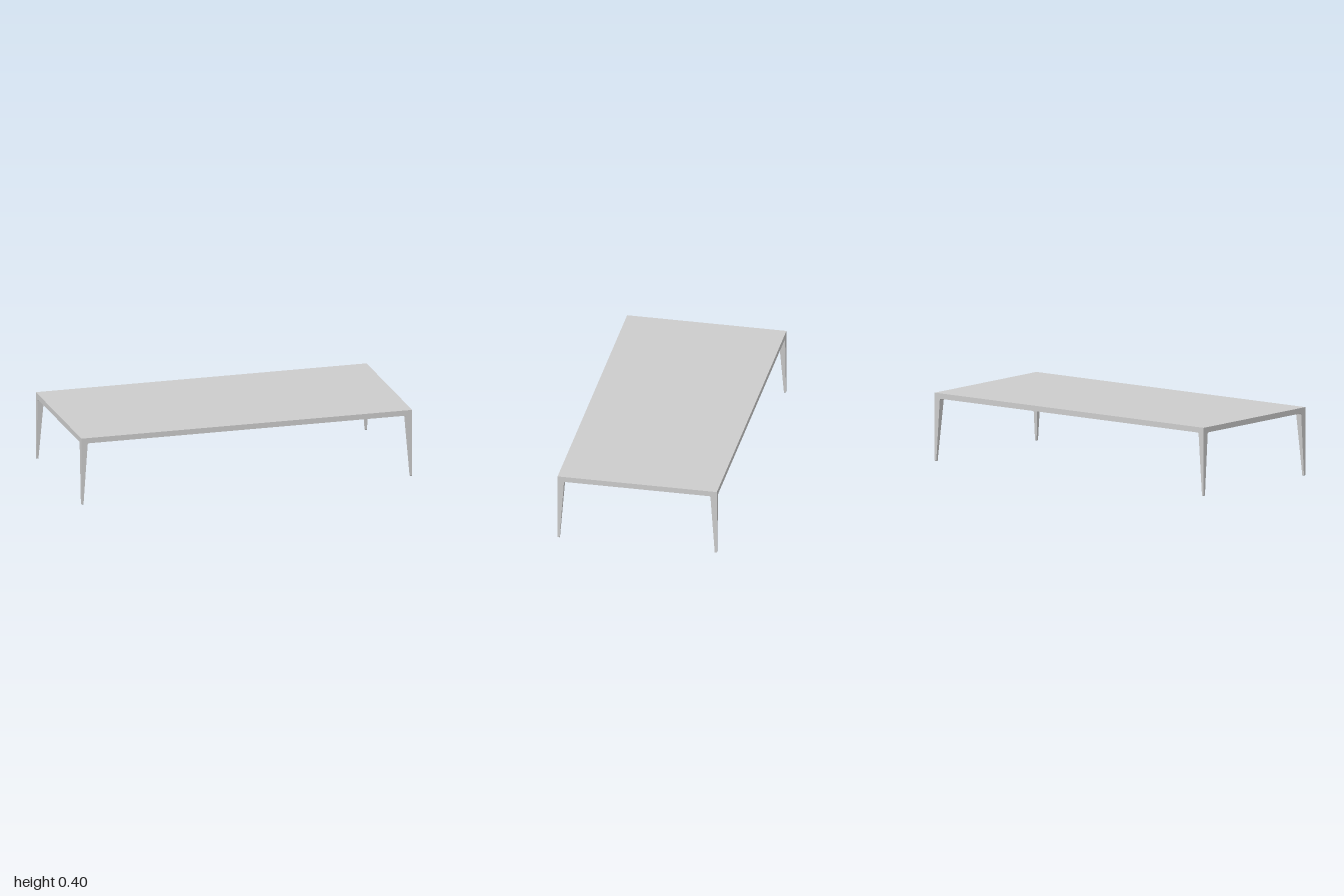
import * as THREE from 'three';

const HALF_X = 1, HALF_Z = 0.472, UNDERSIDE = 0.37, HEIGHT = 0.402;
const material = new THREE.MeshStandardMaterial({ color: 0xcccccc, flatShading: true });

// Leg profile from floor to underside: [height, width, outer inset]
const LEVELS = [
  [0, 0.010, 0.002],
  [0.003, 0.0125, 0],
  [0.36, 0.0375, 0],
  [0.366, 0.039, 0],
  [UNDERSIDE, 0.043, 0],
];

// Square leg, plumb on its two outer faces and tapering on its two inner ones
function makeLeg(sx, sz) {
  const n = LEVELS.length - 1;
  const geometry = new THREE.BoxGeometry(1, 1, 1, 1, n, 1);
  const p = geometry.attributes.position;
  for (let i = 0; i < p.count; i++) {
    const [y, width, inset] = LEVELS[Math.round((p.getY(i) + 0.5) * n)];
    const x = HALF_X - (p.getX(i) * sx > 0 ? inset : width);
    const z = HALF_Z - (p.getZ(i) * sz > 0 ? inset : width);
    p.setXYZ(i, sx * x, y, sz * z);
  }
  geometry.computeVertexNormals();
  return new THREE.Mesh(geometry, material);
}

export function createModel() {
  const table = new THREE.Group();
  table.name = 'lowTable';

  // Thin rectangular slab
  const thickness = HEIGHT - UNDERSIDE;
  const top = new THREE.Mesh(new THREE.BoxGeometry(2 * HALF_X, thickness, 2 * HALF_Z), material);
  top.position.y = UNDERSIDE + thickness / 2;
  top.name = 'tableTop';
  table.add(top);

  // One leg flush with each corner
  for (const sx of [-1, 1]) {
    for (const sz of [-1, 1]) {
      const leg = makeLeg(sx, sz);
      leg.name = (sz > 0 ? 'front' : 'back') + (sx > 0 ? 'Left' : 'Right') + 'Leg';
      table.add(leg);
    }
  }
  return table;
}
